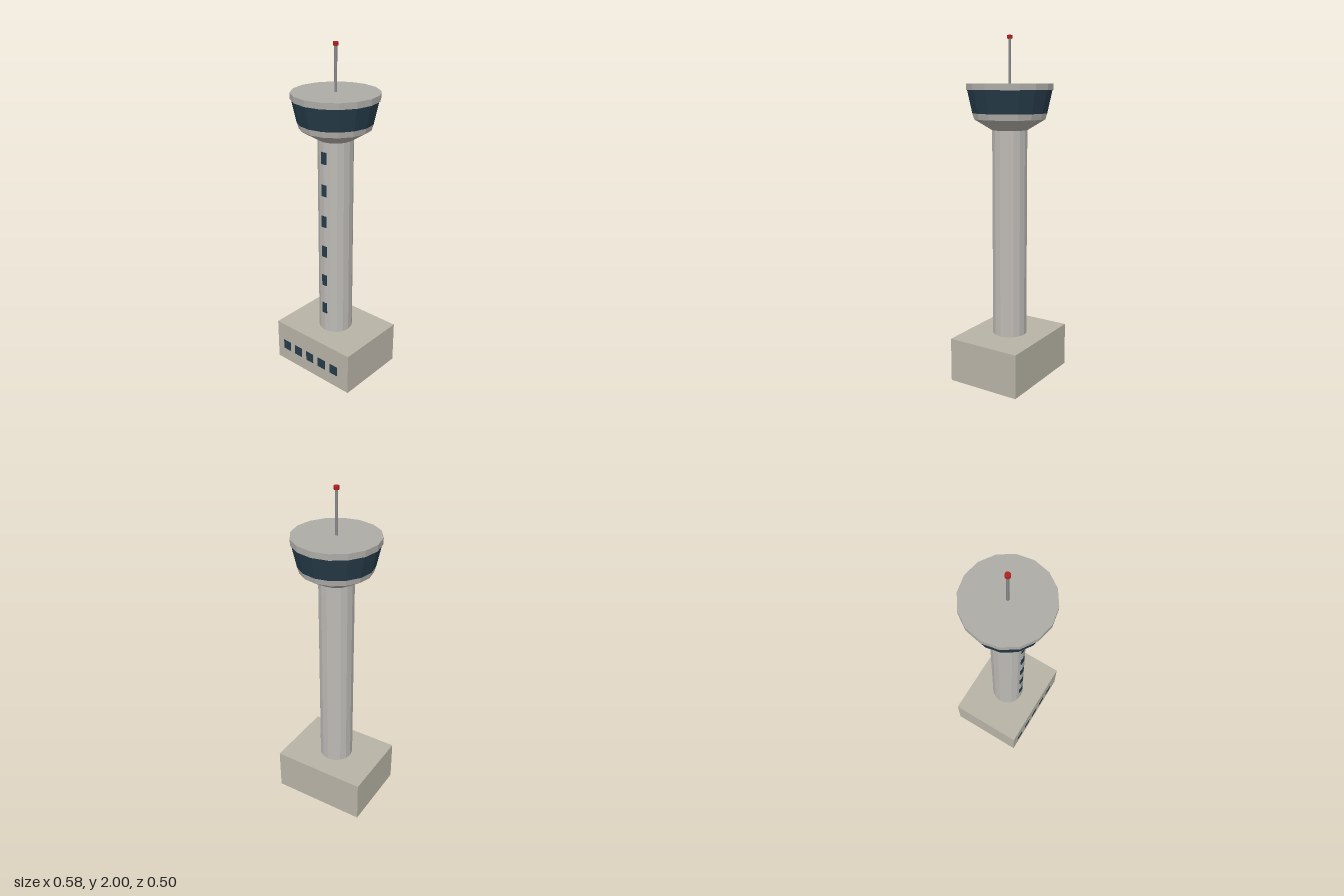
import * as THREE from 'three';

const mat = (color) => new THREE.MeshStandardMaterial({ color, flatShading: true });

export function createModel() {
  const tower = new THREE.Group();
  tower.name = 'controlTower';

  const wall = mat(0xb8b3a6);
  const concrete = mat(0xbdbab5);
  const trim = mat(0xadaba6);
  const glass = mat(0x263c4a);
  const metal = mat(0x888888);
  const red = mat(0xb02020);

  const add = (name, geometry, material, x, y, z) => {
    const mesh = new THREE.Mesh(geometry, material);
    mesh.name = name;
    mesh.position.set(x, y, z);
    tower.add(mesh);
    return mesh;
  };
  const box = (name, w, h, d, material, x, y, z) =>
    add(name, new THREE.BoxGeometry(w, h, d), material, x, y, z);
  // Faceted drum from height y0 to y1, with a corner facing the front
  const drum = (name, r0, r1, y0, y1, material, sides = 16, open = false) =>
    add(name, new THREE.CylinderGeometry(r1, r0, y1 - y0, sides, 1, open), material, 0, (y0 + y1) / 2, 0);

  // Base building with a row of framed windows
  box('baseBuilding', 0.578, 0.26, 0.449, wall, 0, 0.13, 0);
  for (let i = 0; i < 5; i++) {
    const x = -0.2085 + i * 0.0962;
    box('baseWindowFrame', 0.067, 0.072, 0.006, trim, x, 0.114, 0.2235);
    box('baseWindow', 0.058, 0.063, 0.006, glass, x, 0.114, 0.2245);
  }

  // Shaft with a column of small windows
  drum('shaft', 0.102, 0.102, 0.26, 1.475, concrete);
  for (let i = 0; i < 6; i++) {
    box('shaftWindow', 0.034, 0.07, 0.012, glass, 0, 0.421 + i * 0.1922, 0.098);
  }

  // Control cab: flared underside, sill, slanted glazing, roof
  drum('cabUnderside', 0.102, 0.205, 1.475, 1.537, trim);
  drum('cabSill', 0.205, 0.215, 1.537, 1.571, concrete);
  drum('cabGlazing', 0.215, 0.243, 1.571, 1.7, glass);
  drum('cabRoof', 0.249, 0.249, 1.7, 1.735, trim);

  // Antenna and warning light
  drum('antennaMast', 0.008, 0.008, 1.735, 1.982, metal, 8);
  drum('warningLight', 0.015, 0.015, 1.98, 2, red, 10);

  return tower;
}
